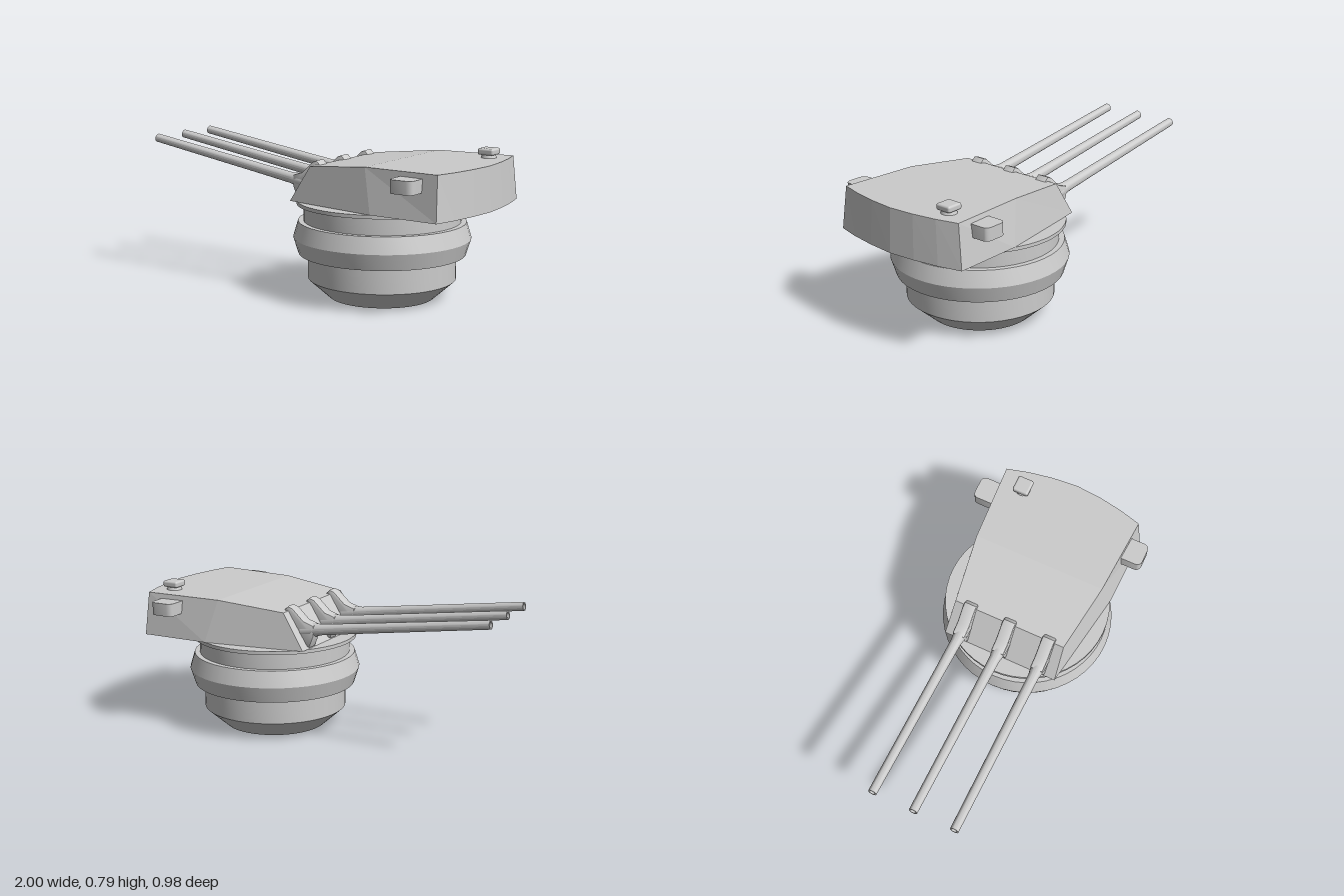
import * as THREE from 'three';
import { toCreasedNormals } from 'three/addons/utils/BufferGeometryUtils.js';
import { RoundedBoxGeometry } from 'three/addons/geometries/RoundedBoxGeometry.js';

const grey = new THREE.MeshStandardMaterial({ color: 0xcccccc });
const CENTRE_X = 0.363; // axis of the round base

function add(parent, name, geometry, x = 0, y = 0, z = 0) {
  const mesh = new THREE.Mesh(geometry, grey);
  mesh.name = name;
  mesh.position.set(x, y, z);
  parent.add(mesh);
  return mesh;
}

function lathe(profile, segments) {
  const points = profile.map(([r, y]) => new THREE.Vector2(r, y));
  return toCreasedNormals(new THREE.LatheGeometry(points, segments), 0.4);
}

// Armoured house: four-cornered sections joined from front to rear.
// Each section: bottom x, bottom half width, top x, top y, top half width.
function houseGeometry() {
  const sections = [
    [0.0, 0.32, 0.12, 0.705, 0.31],
    [0.55, 0.408, 0.49, 0.742, 0.363],
    [0.93, 0.415, 0.918, 0.745, 0.388],
    [0.962, 0.29, 0.95, 0.745, 0.27],
    [0.985, 0.15, 0.973, 0.745, 0.14],
    [0.998, 0, 0.985, 0.745, 0],
  ];
  const floor = 0.515;
  const positions = [];
  const index = [0, 3, 2, 0, 2, 1];
  sections.forEach(([bx, bz, tx, ty, tz], i) => {
    positions.push(bx, floor, bz, bx, floor, -bz, tx, ty, -tz, tx, ty, tz);
    if (i === sections.length - 1) return;
    for (let k = 0; k < 4; k++) {
      const a = i * 4 + k, b = i * 4 + (k + 1) % 4;
      index.push(a, b, b + 4, a, b + 4, a + 4);
    }
  });
  const geometry = new THREE.BufferGeometry();
  geometry.setAttribute('position', new THREE.Float32BufferAttribute(positions, 3));
  geometry.setIndex(index);
  const flat = geometry.toNonIndexed();
  flat.computeVertexNormals();
  return flat;
}

// Raised shield around each gun opening, bevelled at the rim
function shieldGeometry() {
  const outline = [
    [0.002, 0.53], [-0.02, 0.585], [-0.02, 0.635], [0.035, 0.652],
    [0.1, 0.712], [0.122, 0.72], [0.138, 0.705], [0.05, 0.54],
  ];
  const shape = new THREE.Shape(outline.map(([x, y]) => new THREE.Vector2(x, y)));
  const geometry = new THREE.ExtrudeGeometry(shape, {
    depth: 0.05, bevelEnabled: true, bevelSize: 0.008, bevelThickness: 0.01, bevelSegments: 2,
  });
  geometry.translate(0, 0, -0.025);
  return toCreasedNormals(geometry, 0.6);
}

// Side rangefinder hood seen from above, with rounded outer corners
function hoodGeometry() {
  const w = 0.065, inner = 0.35, outer = 0.49, r = 0.03;
  const s = new THREE.Shape();
  s.moveTo(-w, inner);
  s.lineTo(w, inner);
  s.lineTo(w, outer - r);
  s.quadraticCurveTo(w, outer - 0.004, w - r, outer);
  s.lineTo(-w + r, outer);
  s.quadraticCurveTo(-w, outer - 0.004, -w, outer - r);
  s.closePath();
  const geometry = new THREE.ExtrudeGeometry(s, { depth: 0.068, bevelEnabled: false, curveSegments: 5 });
  geometry.rotateX(Math.PI / 2); // shape y becomes z, depth runs down
  return toCreasedNormals(geometry, 0.6);
}

export function createModel() {
  const model = new THREE.Group();
  model.name = 'gunTurret';

  // Round base
  add(model, 'lowerDrum', lathe([
    [0, 0], [0.278, 0], [0.39, 0.1], [0.39, 0.228], [0, 0.228],
  ], 48), CENTRE_X);
  add(model, 'upperDrum', lathe([
    [0, 0.234], [0.44, 0.234], [0.467, 0.32], [0.441, 0.406],
    [0.412, 0.406], [0.412, 0.494], [0, 0.494],
  ], 48), CENTRE_X);
  add(model, 'turningRing', lathe([
    [0, 0.494], [0.445, 0.494], [0.445, 0.513], [0, 0.513],
  ], 48), CENTRE_X - 0.005);

  // House and its fittings
  add(model, 'house', houseGeometry());
  const hood = hoodGeometry();
  add(model, 'leftHood', hood, 0.77, 0.719, 0);
  add(model, 'rightHood', hood, 0.77, 0.719, 0).rotation.y = Math.PI;
  add(model, 'sightPedestal', new THREE.CylinderGeometry(0.035, 0.042, 0.02, 20), 0.845, 0.752, -0.256);
  add(model, 'roofSight', new RoundedBoxGeometry(0.09, 0.034, 0.088, 3, 0.011), 0.845, 0.777, -0.256);

  // Three raised guns with hollow muzzles
  const length = 1.06;
  const barrel = lathe([
    [0, 0], [0.038, 0], [0.038, 0.055], [0.029, 0.115], [0.027, 0.3], [0.023, length],
    [0.016, length], [0.016, length - 0.12], [0, length - 0.12],
  ], 20);
  const shield = shieldGeometry();
  for (const z of [-0.224, 0, 0.224]) {
    const gun = new THREE.Group();
    gun.name = 'gun';
    gun.position.z = z;
    add(gun, 'shield', shield);
    add(gun, 'barrel', barrel, 0.052, 0.602).rotation.z = Math.PI / 2 - 0.147;
    model.add(gun);
  }
  return model;
}
